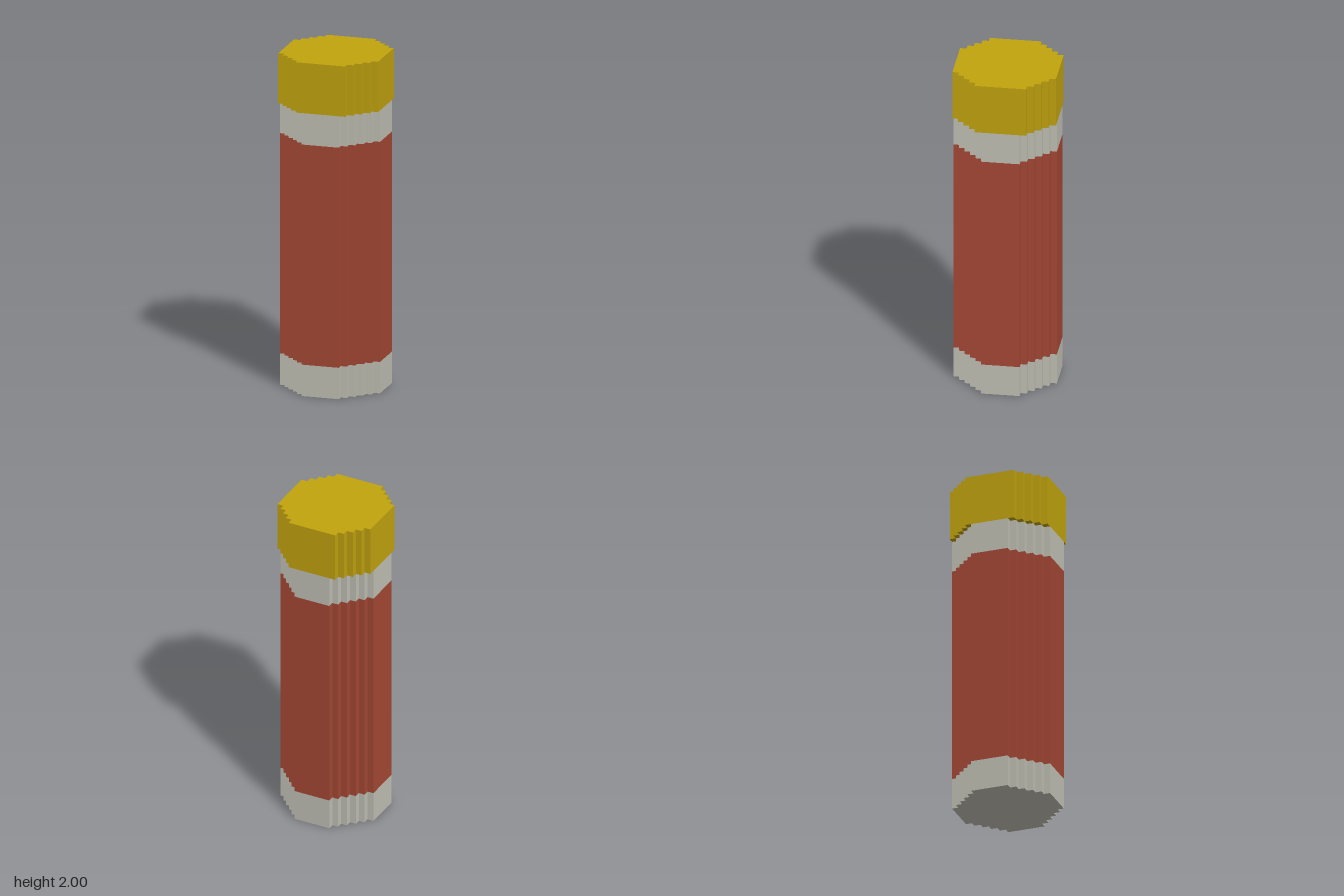
import * as THREE from 'three';

const U = 2 / 53; // one grid step

// Stepped round outline: 'flat' is the half width of the flat sides, 'radius' the reach, in steps
function steppedOutline(flat, radius) {
  const quarter = [];
  for (let x = radius, z = flat; x >= flat; x--, z++) {
    quarter.push([x, z]);
    if (x > flat) quarter.push([x - 1, z]);
  }
  const points = [];
  for (let q = 0; q < 4; q++) {
    const c = [1, 0, -1, 0][q], s = [0, 1, 0, -1][q];
    for (const [x, z] of quarter) {
      points.push(new THREE.Vector2((x * c - z * s) * U, (x * s + z * c) * U));
    }
  }
  return new THREE.Shape(points);
}

// Upright prism of an outline between two heights, in steps
function band(name, outline, from, to, material) {
  const geometry = new THREE.ExtrudeGeometry(outline, { depth: (to - from) * U, bevelEnabled: false });
  geometry.rotateX(-Math.PI / 2);
  geometry.translate(0, from * U, 0);
  const mesh = new THREE.Mesh(geometry, material);
  mesh.name = name;
  return mesh;
}

export function createModel() {
  const material = (name, color) => new THREE.MeshStandardMaterial({ name, color });
  const paleGrey = material('paleGrey', 0xc2c1b6);
  const red = material('brickRed', 0xa54835);
  const gold = material('gold', 0xc2a40e);

  const body = steppedOutline(3, 8);
  const lid = steppedOutline(4, 8);

  const group = new THREE.Group();
  group.name = 'steppedTube';
  group.add(
    band('bottomBand', body, 0, 5, paleGrey),
    band('redWrap', body, 5, 40, red),
    band('topBand', body, 40, 45, paleGrey),
    band('cap', lid, 45, 53, gold),
  );
  return group;
}
